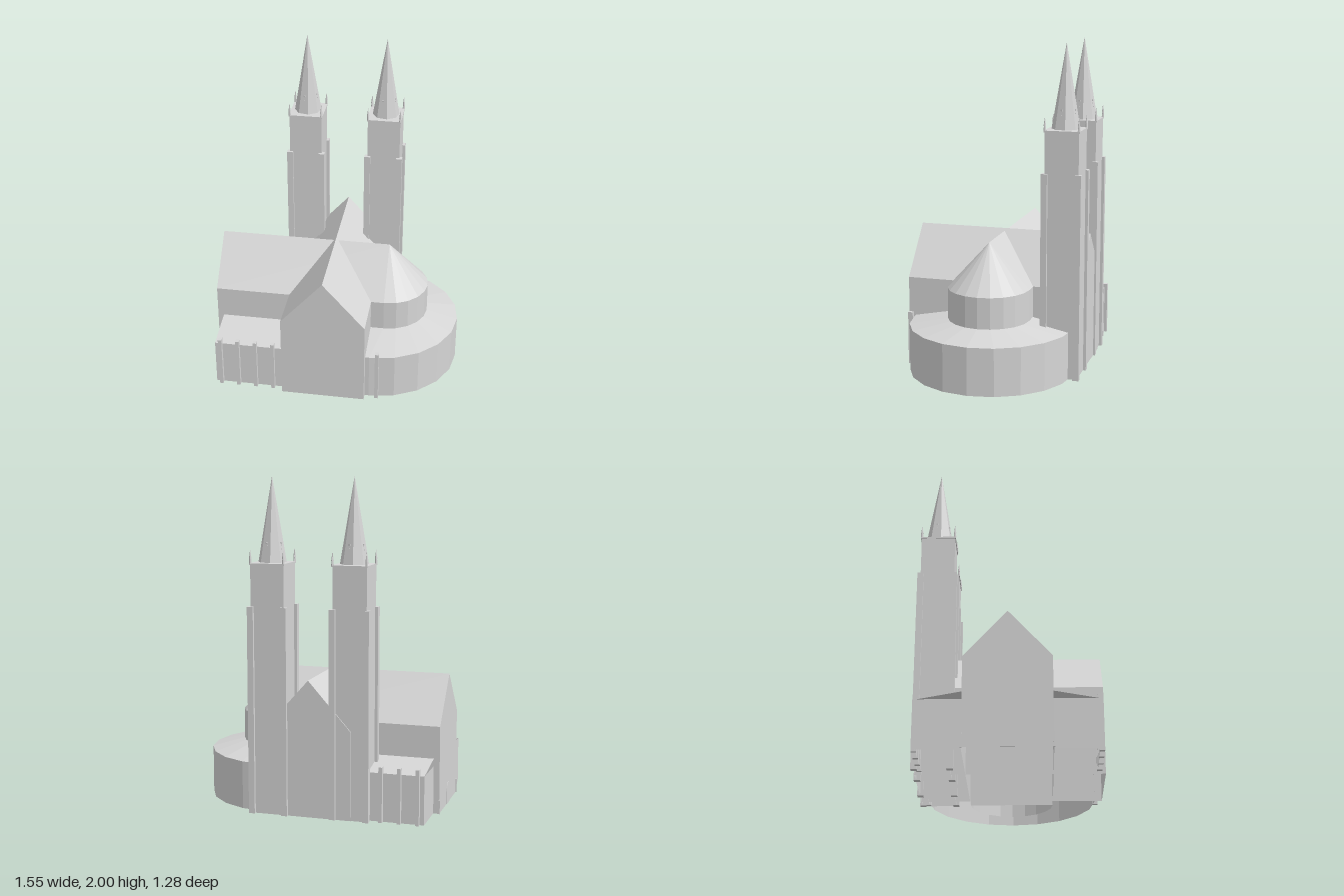
import * as THREE from 'three';

const stone = new THREE.MeshStandardMaterial({ color: 0xd6d6d6, flatShading: true, side: THREE.DoubleSide });
stone.name = 'paleStone';
const TURN = 0.2225; // the plan is turned slightly on its site

function add(parent, name, geo, x = 0, y = 0, z = 0) {
  const m = new THREE.Mesh(geo, stone);
  m.name = name;
  m.position.set(x, y, z);
  parent.add(m);
  return m;
}

// Flat-sided geometry from convex polygons, fanned into triangles
function polygons(list) {
  const pos = [];
  for (const p of list)
    for (let i = 1; i < p.length - 1; i++) pos.push(...p[0], ...p[i], ...p[i + 1]);
  const g = new THREE.BufferGeometry();
  g.setAttribute('position', new THREE.Float32BufferAttribute(pos, 3));
  g.computeVertexNormals();
  return g;
}

// Open-bottomed hall: a [z, y] section drawn along x; edge 0 is the ground
function hall(x0, x1, section) {
  const at = (x) => section.map(([z, y]) => [x, y, z]);
  const a = at(x0), b = at(x1);
  const faces = [b, [...a].reverse()];
  for (let i = 1; i < section.length; i++) {
    const j = (i + 1) % section.length;
    faces.push([b[i], a[i], a[j], b[j]]);
  }
  return polygons(faces);
}

const gable = (half, eave, ridge) =>
  [[half, 0], [-half, 0], [-half, eave], [0, ridge], [half, eave]];

// Side aisle: outer wall, square end wall and a lean-to roof; s is the side
function aisle(s) {
  const x0 = -0.686, x1 = -0.258, zo = s * 0.497, zi = s * 0.25;
  const faces = [
    [[x0, 0, zo], [x1, 0, zo], [x1, 0.29, zo], [x0, 0.29, zo]],
    [[x0, 0, zi], [x0, 0, zo], [x0, 0.29, zo], [x0, 0.29, zi]],
    [[x0, 0.29, zo], [x1, 0.29, zo], [x1, 0.335, zi], [x0, 0.335, zi]],
  ];
  return polygons(s > 0 ? faces : faces.map((f) => f.reverse()));
}

// Curved passage around the apse: outer wall and sloping roof
function ambulatory() {
  const arc = (cx, r) => {
    const pts = [[0.255, r]];
    for (let i = 0; i <= 10; i++) {
      const t = (i / 10) * Math.PI;
      pts.push([cx + r * Math.sin(t), r * Math.cos(t)]);
    }
    pts.push([0.255, -r]);
    return pts;
  };
  const outer = arc(0.283, 0.502), inner = arc(0.338, 0.25);
  const p = ([x, z], y) => [x, y, z];
  const faces = [];
  for (let i = 0; i < outer.length - 1; i++) {
    const a = outer[i], b = outer[i + 1];
    faces.push([p(a, 0), p(b, 0), p(b, 0.29), p(a, 0.29)]);
    faces.push([p(a, 0.29), p(b, 0.29), p(inner[i + 1], 0.34), p(inner[i], 0.34)]);
  }
  return polygons(faces);
}

function tower(name) {
  const g = new THREE.Group();
  g.name = name;
  const w = 0.102;
  add(g, 'towerShaft', hall(-w, w, [[w, 0], [-w, 0], [-w, 1.485], [w, 1.485]]));
  add(g, 'towerCornice', new THREE.BoxGeometry(0.214, 0.01, 0.214), 0, 1.488, 0);
  for (const sx of [-1, 1]) for (const sz of [-1, 1]) {
    const x = sx * 0.101, z = sz * 0.101;
    add(g, 'cornerButtress', new THREE.BoxGeometry(0.037, 1.24, 0.037), x, 0.62, z);
    // corner pinnacle
    add(g, 'pinnacleBase', new THREE.CylinderGeometry(0.006, 0.008, 0.03, 6), x, 1.505, z);
    add(g, 'pinnacleTip', new THREE.ConeGeometry(0.008, 0.055, 6), x, 1.546, z);
  }
  // Octagonal spire with small openings on four faces
  const spire = new THREE.Group();
  spire.name = 'spire';
  spire.rotation.y = -TURN;
  const cone = add(spire, 'spireRoof', new THREE.ConeGeometry(0.084, 0.5, 8, 1, true), 0, 1.745, 0);
  cone.rotation.y = Math.PI / 8;
  for (let i = 0; i < 4; i++) {
    const side = new THREE.Group();
    side.name = 'spireOpening';
    side.rotation.y = (i * Math.PI) / 2;
    const slit = add(side, 'slitWindow', new THREE.BoxGeometry(0.008, 0.035, 0.004), 0, 1.585, 0.0625);
    slit.rotation.x = -0.154;
    add(side, 'windowHead', new THREE.BoxGeometry(0.012, 0.01, 0.008), 0, 1.608, 0.06);
    spire.add(side);
  }
  g.add(spire);
  return g;
}

export function createModel() {
  const model = new THREE.Group();
  model.name = 'twinTowerChurch';
  const church = new THREE.Group();
  church.name = 'church';
  church.rotation.y = TURN;
  church.position.z = -0.015;
  model.add(church);

  // Main halls: nave with chancel, crossed by the transept
  add(church, 'nave', hall(-0.722, 0.338, gable(0.25, 0.53, 0.805)));
  const transept = add(church, 'transept', hall(-0.546, 0.542, gable(0.258, 0.53, 0.82)));
  transept.rotation.y = Math.PI / 2;

  // Rounded apse and its surrounding passage
  add(church, 'apseWall', new THREE.CylinderGeometry(0.25, 0.25, 0.53, 10, 1, true, 0, Math.PI), 0.338, 0.265, 0);
  add(church, 'apseRoof', new THREE.CylinderGeometry(0, 0.25, 0.275, 10, 1, true, 0, Math.PI), 0.338, 0.6675, 0);
  add(church, 'ambulatory', ambulatory());

  // Both sides: aisle, buttresses and low stones at the nave corners
  for (const s of [-1, 1]) {
    add(church, s > 0 ? 'frontAisle' : 'backAisle', aisle(s));
    for (const x of [-0.65, -0.54, -0.43, -0.32, 0.332])
      add(church, 'wallButtress', new THREE.BoxGeometry(0.022, 0.33, 0.03), x, 0.165, s * 0.508);
    add(church, 'cornerStone', new THREE.BoxGeometry(0.008, 0.085, 0.012), -0.723, 0.0425, s * 0.25);
  }

  // Arched door in the end of the nave
  const arch = new THREE.Shape();
  arch.moveTo(-0.04, 0);
  arch.lineTo(0.04, 0);
  arch.lineTo(0.04, 0.08);
  arch.quadraticCurveTo(0.035, 0.12, 0, 0.135);
  arch.quadraticCurveTo(-0.035, 0.12, -0.04, 0.08);
  const door = add(church, 'door', new THREE.ExtrudeGeometry(arch, { depth: 0.004, bevelEnabled: false, curveSegments: 4 }), -0.721, 0, 0);
  door.rotation.y = -Math.PI / 2;

  // Twin towers flanking the back transept gable
  for (const s of [-1, 1]) {
    const t = tower(s < 0 ? 'rightTower' : 'leftTower');
    t.position.set(s * 0.248, 0, s < 0 ? -0.434 : -0.441);
    church.add(t);
  }
  return model;
}
